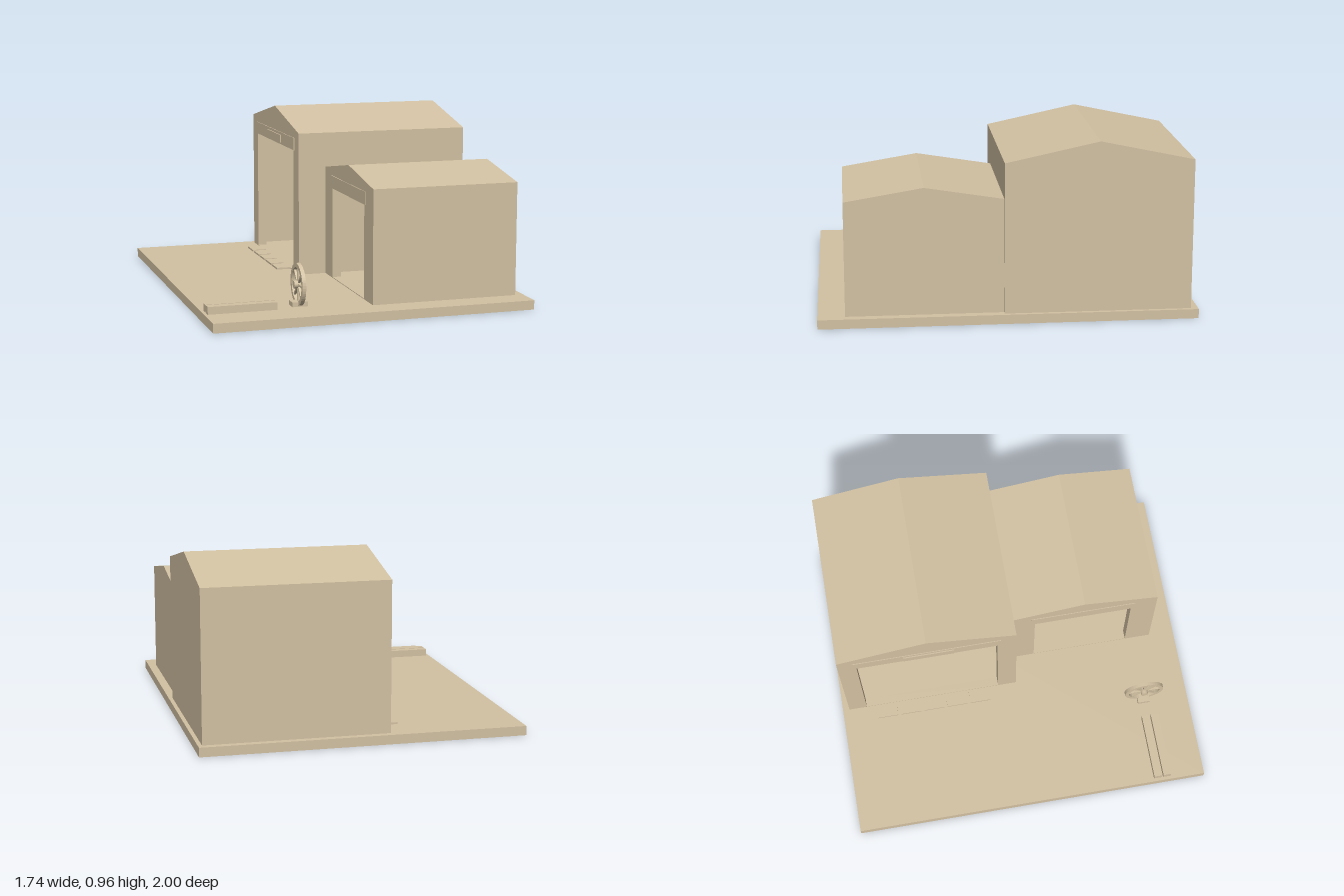
import * as THREE from 'three';

// double sided because the shed walls are thin and seen from inside through the doorways
const tan = new THREE.MeshStandardMaterial({ color: 0xd2c1a2, side: THREE.DoubleSide });
tan.name = 'tan';

const GROUND = 0.05, WALL = 0.05;

function add(parent, name, geometry) {
  const mesh = new THREE.Mesh(geometry, tan);
  mesh.name = name;
  parent.add(mesh);
  return mesh;
}

// box given by its limits on each axis
function block(parent, name, [x0, x1], [y0, y1], [z0, z1]) {
  const mesh = add(parent, name, new THREE.BoxGeometry(x1 - x0, y1 - y0, z1 - z0));
  mesh.position.set((x0 + x1) / 2, (y0 + y1) / 2, (z0 + z1) / 2);
}

// extrude a (z, y) outline along x
function extrudeX(shape, depth) {
  const g = new THREE.ExtrudeGeometry(shape, { depth, bevelEnabled: false, curveSegments: 24 });
  return g.rotateY(-Math.PI / 2).translate(depth, 0, 0);
}

// side walls, roof slopes and rear gable from a (z, y) profile
function shellGeometry(profile, x0, x1, firstSide) {
  const v = [];
  for (let i = firstSide; i < profile.length - 1; i++) {
    const [az, ay] = profile[i], [bz, by] = profile[i + 1];
    v.push(x0, ay, az, x0, by, bz, x1, by, bz, x0, ay, az, x1, by, bz, x1, ay, az);
  }
  for (let i = 1; i < profile.length - 1; i++) {
    for (const [z, y] of [profile[0], profile[i], profile[i + 1]]) v.push(x1, y, z);
  }
  const g = new THREE.BufferGeometry();
  g.setAttribute('position', new THREE.Float32BufferAttribute(v, 3));
  g.computeVertexNormals();
  return g;
}

// gabled shed with a wide doorway in its -x end
function shed(name, { x, z, eave, ridge, door, doorTop, firstSide }) {
  const group = new THREE.Group();
  group.name = name;
  const [z0, z1] = z, [d0, d1] = door;
  const gable = [[z0, GROUND], [z0, eave], [(z0 + z1) / 2, ridge], [z1, eave], [z1, GROUND]];
  add(group, 'wallsAndRoof', shellGeometry(gable, x[0] + WALL, x[1], firstSide));

  const notch = [[d1, GROUND], [d1, doorTop], [d0, doorTop], [d0, GROUND]];
  const outline = new THREE.Shape([...gable, ...notch].map(p => new THREE.Vector2(...p)));
  add(group, 'doorWall', extrudeX(outline, WALL)).position.x = x[0];

  // door header and threshold
  block(group, 'doorHeader', [x[0] - 0.004, x[0]], [doorTop, doorTop + 0.07], [d0 - 0.02, d1 + 0.02]);
  block(group, 'threshold', [x[0], x[0] + WALL], [GROUND, GROUND + 0.004], [d0, d1]);
  return group;
}

// upright spoked wheel on a small foot
function spokedWheel() {
  const group = new THREE.Group();
  group.name = 'spokedWheel';
  const radius = 0.112, width = 0.02;

  const ring = new THREE.Shape().absarc(0, 0, radius, 0, Math.PI * 2);
  ring.holes.push(new THREE.Path().absarc(0, 0, 0.09, 0, Math.PI * 2, true));
  add(group, 'rim', extrudeX(ring, width)).position.x = -width / 2;

  add(group, 'hub', new THREE.CylinderGeometry(0.02, 0.02, 0.05, 16).rotateZ(Math.PI / 2));

  for (let i = 0; i < 8; i++) {
    const spoke = new THREE.BoxGeometry(0.012, 0.08, 0.01).translate(0, 0.052, 0);
    add(group, 'spoke', spoke).rotation.x = i * Math.PI / 4;
  }
  block(group, 'foot', [-0.042, 0.042], [-radius, -0.087], [-0.035, 0.035]);
  group.position.set(-0.353, GROUND + radius, 0.742);
  return group;
}

export function createModel() {
  const model = new THREE.Group();
  model.name = 'workshopYard';

  block(model, 'groundSlab', [-0.87, 0.87], [0, GROUND], [-1, 1]);

  model.add(shed('largeShed', {
    x: [-0.14, 0.848], z: [-0.962, 0.026], eave: 0.855, ridge: 0.96,
    door: [-0.86, -0.08], doorTop: 0.75, firstSide: 0,
  }));
  // shares its back wall with the large shed
  model.add(shed('smallShed', {
    x: [0.018, 0.824], z: [0.026, 0.856], eave: 0.662, ridge: 0.73,
    door: [0.16, 0.71], doorTop: 0.56, firstSide: 1,
  }));

  block(model, 'signBoard', [-0.15, -0.144], [0.76, 0.805], [-0.6, -0.32]);

  // row of paving plates along the large doorway
  for (let i = 0; i < 5; i++) {
    const z = -0.802 + i * 0.136;
    block(model, 'pavingPlate', [-0.222, -0.146], [GROUND, 0.06], [z, z + 0.117]);
  }

  // beams lying side by side
  for (const z of [0.709, 0.762]) {
    block(model, 'beam', [-0.852, -0.483], [GROUND, 0.09], [z, z + 0.045]);
  }

  model.add(spokedWheel());
  return model;
}
